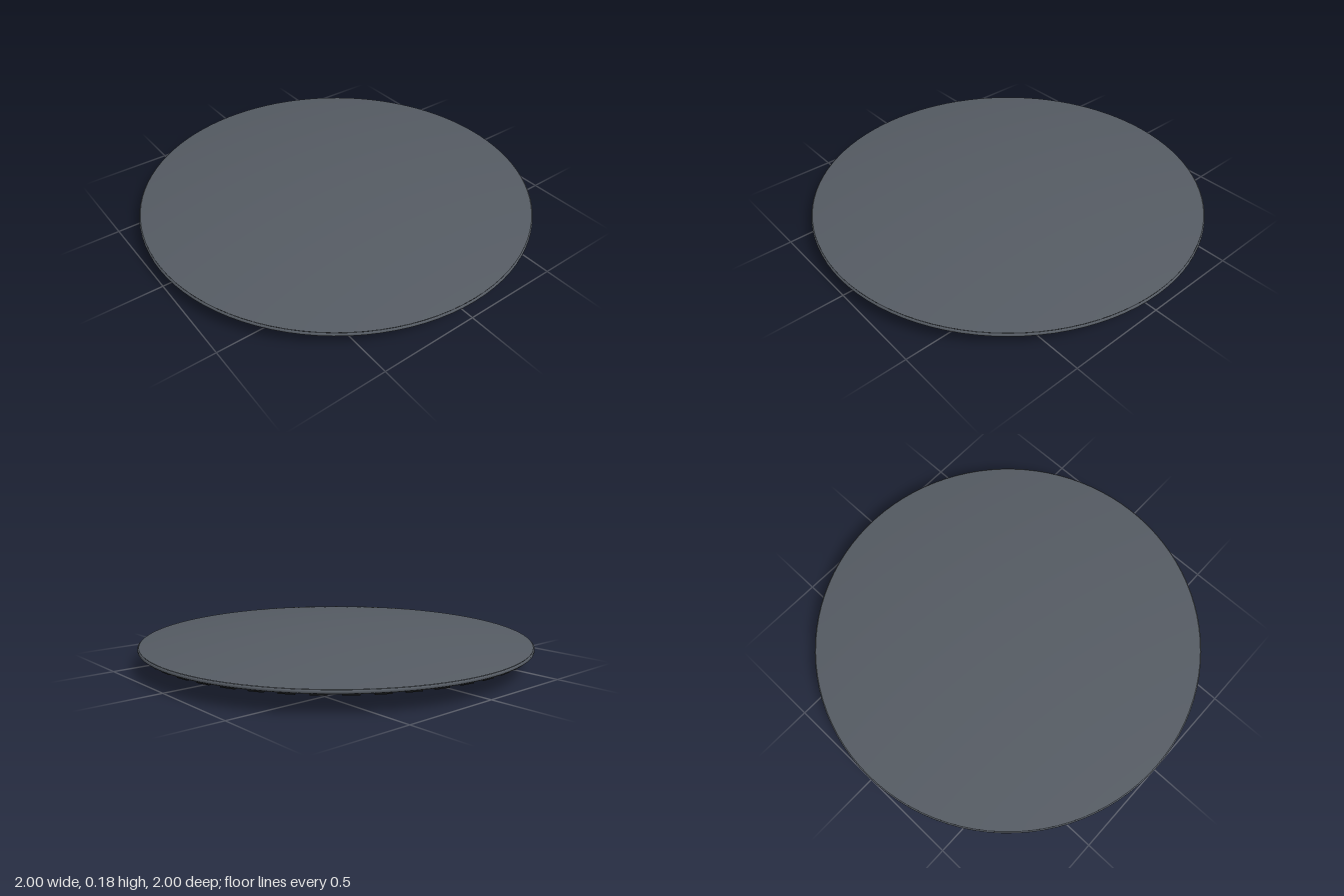
import * as THREE from 'three';

const SEGMENTS = 96;
const material = (color) => new THREE.MeshStandardMaterial({ color, side: THREE.DoubleSide });
const hullTop = material(0x555b63);
const hullBottom = material(0x42474c);
const trim = material(0x5c5c5c);
const dark = material(0x17191b);
const lensDark = material(0x101a20);
const lensLight = material(0x8a9aa2);

// Height of the shallow domes at a given radius
const topY = (r) => 0.112 + 0.071 * (1 - r * r);
const bottomY = (r) => 0.008 + 0.087 * Math.pow(r, 1.8);

// Points along a dome between two radii
function arc(heightAt, r0, r1, steps, offset = 0) {
  return Array.from({ length: steps + 1 }, (_, i) => {
    const r = r0 + ((r1 - r0) * i) / steps;
    return new THREE.Vector2(r, heightAt(r) + offset);
  });
}

export function createModel() {
  const model = new THREE.Group();

  function add(name, geometry, mat, parent = model) {
    const mesh = new THREE.Mesh(geometry, mat);
    mesh.name = name;
    parent.add(mesh);
    return mesh;
  }
  const lathe = (name, points, mat) => add(name, new THREE.LatheGeometry(points, SEGMENTS), mat);

  // Same part repeated around the axis
  function radial(name, count, geometry, mat, radius, y) {
    const group = new THREE.Group();
    group.name = name;
    for (let i = 0; i < count; i++) {
      const angle = (i / count) * Math.PI * 2;
      const part = add(name + 'Part', geometry, mat, group);
      part.position.set(Math.sin(angle) * radius, y, Math.cos(angle) * radius);
      part.rotation.y = angle;
    }
    model.add(group);
  }

  // Hull: upper dome, thin rim band, lower dome
  lathe('upperHull', arc(topY, 0.994, 0, 24), hullTop);
  lathe('lowerHull', arc(bottomY, 0, 0.994, 24), hullBottom);
  lathe('rimBand', [[0.994, 0.095], [1, 0.099], [1, 0.108], [0.994, 0.112]]
    .map(([r, y]) => new THREE.Vector2(r, y)), hullTop);

  // Concentric trim rings on the underside
  for (const [name, inner, outer] of [
    ['innerRing', 0.21, 0.3],
    ['finRing', 0.475, 0.572],
    ['outerRing', 0.89, 0.91],
  ]) {
    lathe(name, arc(bottomY, inner, outer, 4, -0.002), trim);
  }

  // Flat radial fins and the dark slots beneath the rim
  radial('fins', 48, new THREE.BoxGeometry(0.055, 0.003, 0.15), trim, 0.645, 0.039);
  radial('seamSlots', 48, new THREE.BoxGeometry(0.05, 0.003, 0.008), dark, 0.81, bottomY(0.81) - 0.001);
  radial('rimSlots', 48, new THREE.BoxGeometry(0.07, 0.008, 0.014), dark, 0.975, 0.089);

  // Central lens
  add('lensHousing', new THREE.CylinderGeometry(0.14, 0.135, 0.012, 64), lensDark).position.y = 0.008;
  add('lensCore', new THREE.CylinderGeometry(0.038, 0.036, 0.004, 32), lensLight).position.y = 0.002;

  return model;
}
